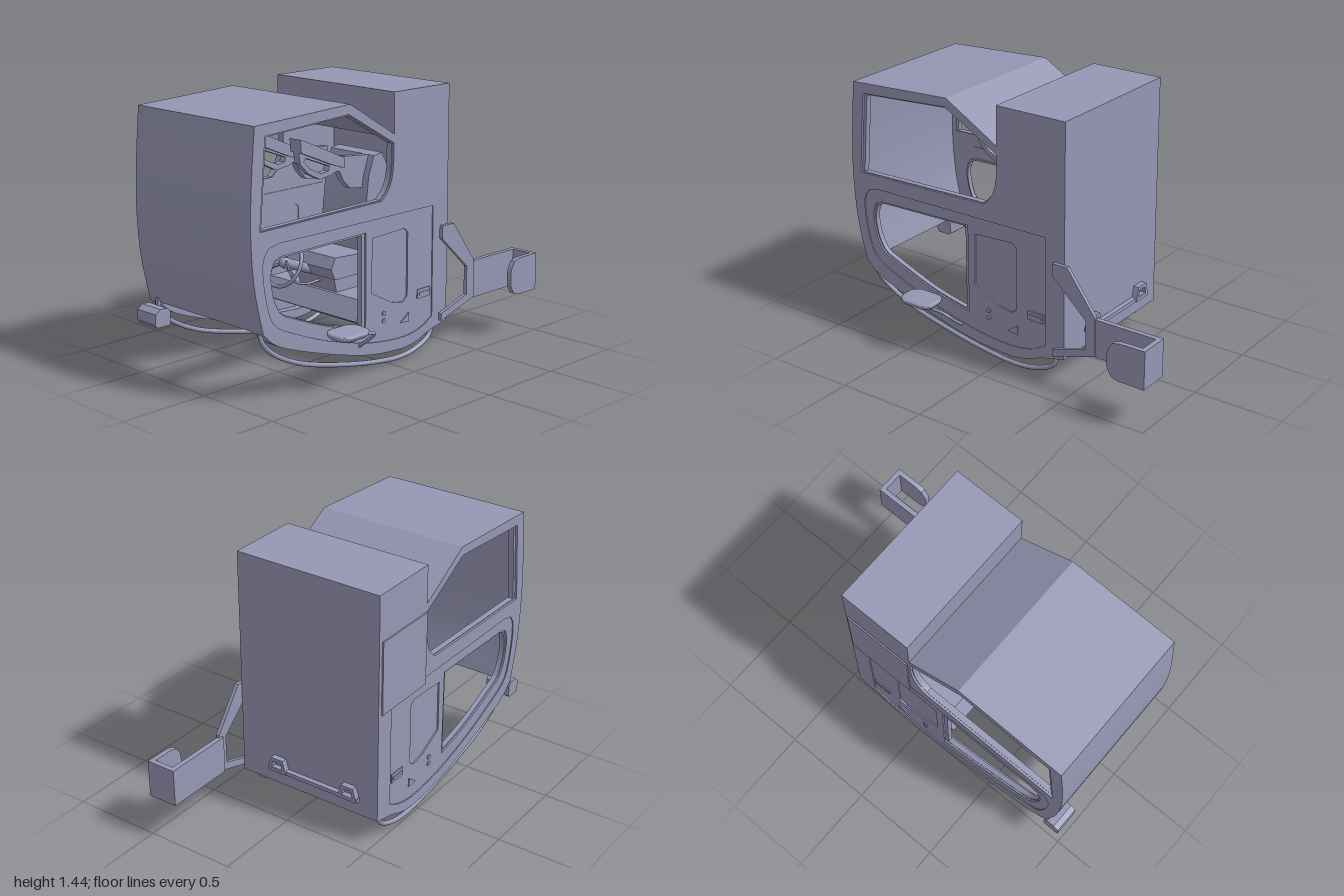
import * as THREE from 'three';
import { toCreasedNormals } from 'three/addons/utils/BufferGeometryUtils.js';

const XL = 0.345, XR = -0.52;
const mat = new THREE.MeshStandardMaterial({ color: 0x9696b4, side: THREE.DoubleSide });
const v2 = p => new THREE.Vector2(...p);
const curve = (pts, n) => new THREE.SplineCurve(pts.map(v2)).getPoints(n).map(p => [p.x, p.y]);
const shapeOf = pts => new THREE.Shape(pts.map(v2));

export function createModel() {
  const root = new THREE.Group();
  const add = (name, geo, pos, parent = root) => {
    const m = new THREE.Mesh(geo, mat);
    m.name = name;
    if (pos) m.position.set(...pos);
    parent.add(m);
    return m;
  };
  // Extrude a (z, y) profile across x from x0 to x1
  const across = (name, pts, x0, x1, holes = []) => {
    const s = shapeOf(pts);
    holes.forEach(h => s.holes.push(new THREE.Path(h.map(v2))));
    const g = new THREE.ExtrudeGeometry(s, { depth: Math.abs(x1 - x0), bevelEnabled: false });
    g.rotateY(-Math.PI / 2);
    g.translate(Math.max(x0, x1), 0, 0);
    return add(name, toCreasedNormals(g, 0.5));
  };
  const tube = (name, pts, r, n = 40) =>
    add(name, new THREE.TubeGeometry(new THREE.CatmullRomCurve3(pts.map(p => new THREE.Vector3(...p))), n, r, 10));
  const box = (name, w, h, d, pos) => add(name, new THREE.BoxGeometry(w, h, d), pos);
  // Shrink or grow an outline about its centre
  const scaled = (pts, k) => {
    const c = [0, 1].map(i => pts.reduce((a, p) => a + p[i], 0) / pts.length);
    return pts.map(p => p.map((v, i) => c[i] + (v - c[i]) * k));
  };

  // Shared outlines in (z, y)
  const nose = curve([[0.95, 1.39], [0.975, 1.1], [0.982, 0.85], [0.962, 0.6], [0.91, 0.37]], 24);
  const belly = curve([[0.91, 0.37], [0.8, 0.285], [0.5, 0.18], [0.2, 0.1], [-0.02, 0.075], [-0.15, 0.08], [-0.26, 0.115], [-0.34, 0.15]], 30);
  const upperWindow = [[0.885, 1.335], [0.33, 1.37], [0.003, 1.185],
    ...curve([[0.003, 1.08], [0.015, 1.0], [0.045, 0.94], [0.09, 0.895]], 8), [0.925, 0.88]];
  const lowerWindow = [[0.22, 0.735], [0.78, 0.725],
    ...curve([[0.82, 0.71], [0.843, 0.64], [0.825, 0.53], [0.79, 0.46]], 10),
    ...curve([[0.76, 0.435], [0.55, 0.35], [0.4, 0.3], [0.22, 0.26]], 8)];
  const doorEdge = [[-0.305, 0.808], [0.8, 0.805],
    ...curve([[0.87, 0.79], [0.905, 0.73], [0.9, 0.6], [0.865, 0.45], [0.82, 0.39]], 12),
    ...curve([[0.78, 0.365], [0.5, 0.25], [0.2, 0.165], [-0.05, 0.135], [-0.2, 0.15], [-0.305, 0.2]], 14)];
  const doorInset = [[0.15, 0.71], [-0.09, 0.72], [-0.115, 0.7], [-0.115, 0.35], [-0.08, 0.325], [0.0, 0.34], [0.155, 0.42]];
  const step = [[-0.06, 0.215], [-0.125, 0.21], [-0.125, 0.26]];

  // Hollow rear housing: front header, top, back wall and sloped base
  across('rearHousing', [[0, 1.23], [0, 1.445], [-0.42, 1.445], [-0.42, 0.155], [-0.26, 0.118], [-0.17, 0.09],
    [-0.17, 0.11], [-0.26, 0.14], [-0.4, 0.19], [-0.4, 1.425], [-0.02, 1.425], [-0.02, 1.23]], XR, XL);

  // Roof and curved front screen as one thin skin
  const skin = [[0, 1.23], [0.32, 1.42], ...nose];
  const inner = skin.map(([z, y], i) => i < 2 ? [z, y - 0.022] : [z - 0.02, Math.min(y, 1.368)]);
  across('roofAndScreen', [...skin, ...inner.reverse()], XR, XL);

  // Side walls with recessed doors, sills, skids and door details on both sides
  const wall = [[0, 1.445], [0, 1.23], [0.32, 1.42], ...nose, ...belly.slice(1), [-0.42, 0.155], [-0.42, 1.445]];
  for (const s of [1, -1]) {
    const face = s > 0 ? XL : XR;
    const at = d => face + s * d;
    across('sideWall', wall, at(0), at(-0.03), [upperWindow, doorEdge]);
    across('upperWindowRim', upperWindow, at(-0.012), at(-0.045), [scaled(upperWindow, 0.975)]);
    across('door', doorEdge, at(-0.006), at(-0.035), [scaled(lowerWindow, 1.05), doorInset]);
    across('lowerWindowRim', scaled(lowerWindow, 1.05), at(-0.016), at(-0.045), [lowerWindow]);
    across('doorInset', doorInset, at(-0.014), at(-0.03));
    across('sill', [...belly, ...belly.map(([z, y]) => [z - 0.01, y + 0.05]).reverse()], at(-0.005), at(-0.075));
    box('doorHandle', 0.012, 0.05, 0.1, [at(-0.006), 0.345, -0.24]);
    box('handleGrip', 0.012, 0.015, 0.08, [at(-0.002), 0.345, -0.24]);
    for (const y of [0.255, 0.295]) {
      const k = add('doorLock', new THREE.CylinderGeometry(0.013, 0.013, 0.012, 16), [at(-0.006), y, 0.065]);
      k.rotation.z = Math.PI / 2;
    }
    across('stepPlate', step, at(-0.008), at(0));
    const x = s > 0 ? 0.305 : -0.48;
    tube('skidTube', [[0.9, 0.37], [0.885, 0.32], [0.82, 0.25], [0.65, 0.16], [0.4, 0.088], [0.1, 0.03], [-0.1, 0.013],
      [-0.22, 0.03], [-0.32, 0.075], [-0.342, 0.11], [-0.335, 0.16]].map(([z, y]) => [x, y, z]), 0.013, 64);
  }

  // Outer cover panel on the right of the housing
  box('coverPanel', 0.008, 0.41, 0.39, [-0.527, 0.985, -0.205]);

  // Rear latch strip and its two trapezoid cleats
  box('latchStrip', 0.57, 0.022, 0.03, [-0.125, 0.25, -0.433]);
  for (const x of [-0.35, 0.1]) {
    const cleat = shapeOf([[-0.06, 0.24], [0.06, 0.24], [0.038, 0.32], [-0.038, 0.32]]);
    cleat.holes.push(new THREE.Path([[-0.035, 0.26], [0.035, 0.26], [0.025, 0.3], [-0.025, 0.3]].map(v2)));
    add('latchCleat', new THREE.ExtrudeGeometry(cleat, { depth: 0.035, bevelEnabled: false }), [x, 0, -0.452]);
  }

  // Rear bracket arm with a hooked plate
  across('bracketArm', [[-0.36, 0.69], [-0.45, 0.69], [-0.62, 0.46], [-0.625, 0.245], [-0.36, 0.165], [-0.36, 0.205],
    [-0.565, 0.27], [-0.565, 0.43], [-0.36, 0.62]], 0.345, 0.365);
  box('hookPlate', 0.028, 0.21, 0.4, [0.344, 0.343, -0.8]);
  box('hookBack', 0.17, 0.21, 0.028, [0.415, 0.343, -0.986]);
  across('hookReturn', [[-1, 0.238], [-1, 0.448], [-0.85, 0.446],
    ...curve([[-0.81, 0.435], [-0.785, 0.39], [-0.78, 0.343], [-0.785, 0.296], [-0.81, 0.251]], 12), [-0.85, 0.24]], 0.472, 0.5);

  // Dished side mirror on a bent rod
  tube('mirrorRod', [[0.34, 0.16, 0.25], [0.4, 0.205, 0.25], [0.45, 0.25, 0.25], [0.46, 0.265, 0.28], [0.46, 0.27, 0.42]], 0.009);
  const glass = new THREE.Shape();
  glass.absellipse(0.02, 0.045, 0.03, 0.035, 0, Math.PI / 2);
  glass.absellipse(-0.02, 0.045, 0.03, 0.035, Math.PI / 2, Math.PI);
  glass.absellipse(-0.02, -0.045, 0.03, 0.035, Math.PI, Math.PI * 1.5);
  glass.absellipse(0.02, -0.045, 0.03, 0.035, Math.PI * 1.5, Math.PI * 2);
  const dish = new THREE.ExtrudeGeometry(glass,
    { depth: 0.004, bevelThickness: 0.024, bevelSize: 0.027, bevelSegments: 5, curveSegments: 6 });
  dish.rotateX(Math.PI / 2);
  // flatten the upper face, leaving the rounded back below
  const p = dish.attributes.position;
  for (let i = 0; i < p.count; i++) if (p.getY(i) > 0) p.setY(i, p.getY(i) * 0.3);
  dish.computeVertexNormals();
  const mirror = add('mirror', toCreasedNormals(dish, 0.7), [0.448, 0.304, 0.437]);
  mirror.rotation.z = -0.06;
  add('mirrorJoint', new THREE.SphereGeometry(0.02, 16, 10), [0.46, 0.265, 0.42]);

  // Front lamp and bracket
  across('lamp', [[0.9, 0.27], [0.91, 0.262], [0.985, 0.262], [0.998, 0.28], [0.995, 0.335], [0.965, 0.358], [0.92, 0.355], [0.9, 0.335]],
    -0.52, -0.372);
  box('lampBracket', 0.02, 0.06, 0.02, [-0.45, 0.365, 0.915]);

  // Cross beam inside the cab
  across('crossBeam', [[0.2, 0.26], [0.16, 0.24], [0, 0.24], [-0.2, 0.24], [-0.2, 0.36], [0.14, 0.36]], -0.44, 0.27);

  // Steering wheel tilted on its column
  const wheel = new THREE.Group();
  wheel.name = 'steeringWheel';
  wheel.position.set(-0.12, 0.535, 0.345);
  wheel.rotation.x = -0.41;
  root.add(wheel);
  add('wheelRim', new THREE.TorusGeometry(0.13, 0.01, 10, 40), null, wheel);
  add('wheelHub', new THREE.SphereGeometry(0.03, 16, 10), [0, 0, -0.01], wheel);
  for (let i = 0; i < 3; i++) {
    const a = i * Math.PI * 2 / 3 + Math.PI / 2;
    const spoke = add('wheelSpoke', new THREE.BoxGeometry(0.13, 0.016, 0.01), [Math.cos(a) * 0.065, Math.sin(a) * 0.065, 0], wheel);
    spoke.rotation.z = a;
  }
  tube('steeringColumn', [[-0.12, 0.535, 0.34], [-0.12, 0.5, 0.25], [-0.12, 0.46, 0.14]], 0.028, 12);
  tube('controlLever', [[-0.06, 0.56, 0.38], [-0.06, 0.44, 0.32], [-0.06, 0.41, 0.24], [-0.06, 0.41, 0.14]], 0.007);

  // Seat with base, cushion and backrest
  across('seatBase', [[0.12, 0.36], [0.14, 0.44], [-0.2, 0.44], [-0.18, 0.36]], -0.23, 0.05);
  across('seatCushion', [[0.16, 0.44], [0.19, 0.5], [0.16, 0.56], [-0.2, 0.54], [-0.2, 0.44]], -0.26, 0.08);
  across('backrest', [[-0.08, 0.54], [-0.06, 0.62], [-0.1, 0.95], [-0.14, 1.06], [-0.2, 1.07], [-0.24, 1.0], [-0.2, 0.54]], -0.25, 0.07);

  // Raised armrests with open loops below
  const arm = [[0.37, 1.15], [0.36, 1.08], [0.3, 1.02], [0.22, 0.98], [0.14, 0.99], [0.08, 1.01], [0.09, 1.07], [0.3, 1.15]];
  const gap = [[0.335, 1.09], [0.29, 1.045], [0.21, 1.01], [0.16, 1.015], [0.15, 1.04], [0.32, 1.105]];
  for (const x of [-0.33, 0]) {
    across('armPad', [[0.375, 1.21], [0.345, 1.2], [0.06, 1.075], [0.06, 1.02], [0.15, 1.05], [0.33, 1.125], [0.37, 1.14]], x - 0.03, x + 0.05);
    across('armLoop', arm, x - 0.01, x + 0.03, [gap]);
    across('armMount', [[0.1, 1.09], [0.03, 1.075], [-0.16, 1.06], [-0.16, 0.88], [0.0, 0.9], [0.05, 0.95], [0.075, 1.0], [0.11, 1.01]],
      x - 0.01, x + 0.03);
  }
  return root;
}
